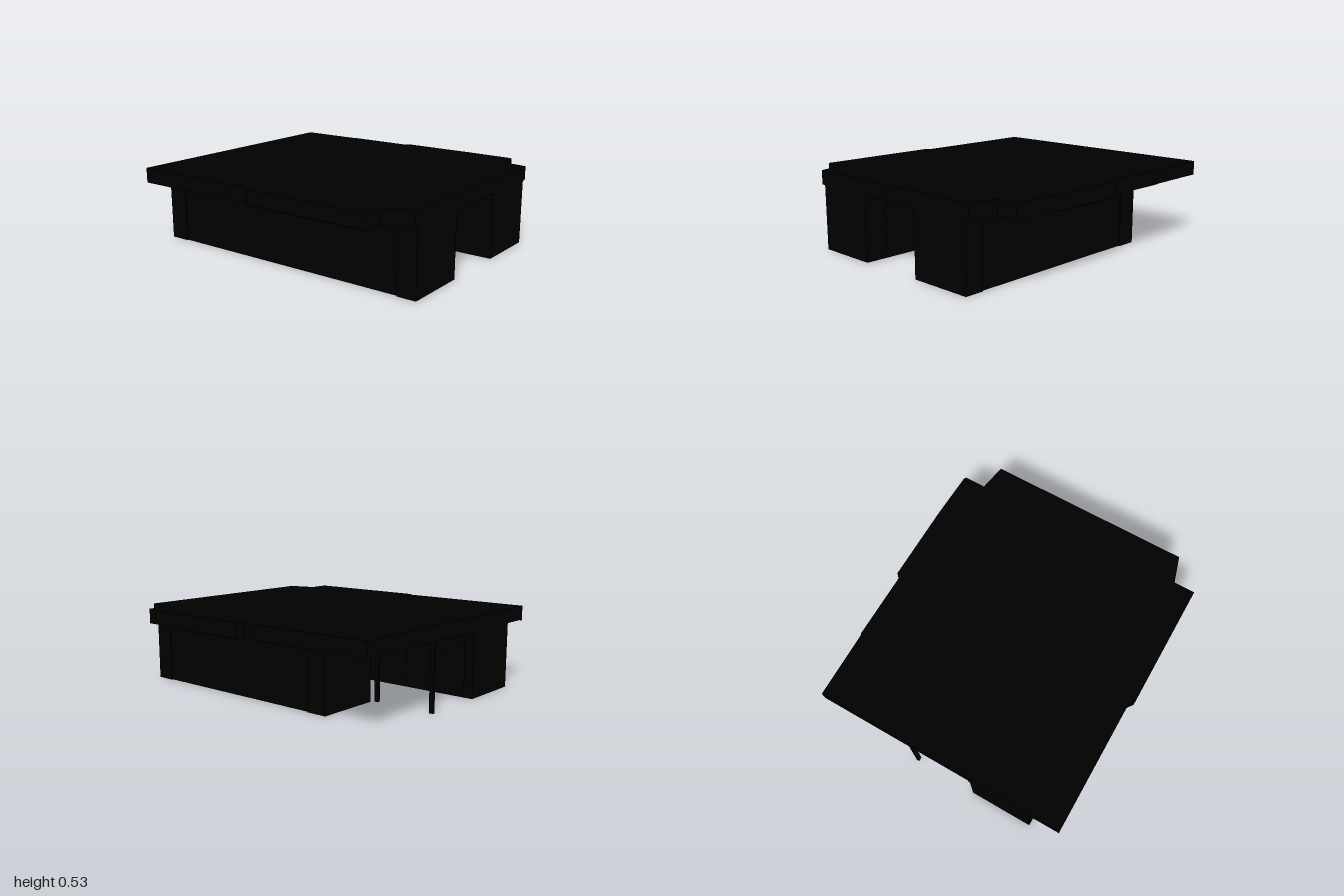
import * as THREE from 'three';

export function createModel() {
  const model = new THREE.Group();
  const black = new THREE.MeshStandardMaterial({ color: 0x000000 });
  black.name = 'black';

  const add = (name, geometry) => {
    const mesh = new THREE.Mesh(geometry, black);
    mesh.name = name;
    model.add(mesh);
    return mesh;
  };
  // Box given by its limits on each axis
  const box = (name, x0, x1, y0, y1, z0, z1) =>
    add(name, new THREE.BoxGeometry(x1 - x0, y1 - y0, z1 - z0)
      .translate((x0 + x1) / 2, (y0 + y1) / 2, (z0 + z1) / 2));

  // Roof slab: plan outline as x, z
  const outline = [
    [-0.67, -1], [0.855, -1], [0.86, -0.55], [0.867, -0.53], [0.867, -0.08],
    [0.895, -0.05], [0.895, 0.48], [0.885, 0.8], [0.875, 0.815], [0.73, 0.815],
    [0.7, 1], [-0.7, 1], [-0.755, 0.815], [-0.9, 0.815], [-0.9, -0.05],
    [-0.87, -0.09], [-0.67, -0.09],
  ].map(([x, z]) => new THREE.Vector2(x, z));
  add('roof', new THREE.ExtrudeGeometry(new THREE.Shape(outline), { depth: 0.095, bevelEnabled: false })
    .rotateX(Math.PI / 2).translate(0, 0.53, 0));

  // Rear side eave, open from below
  add('eaveTop', new THREE.PlaneGeometry(0.2, 0.91).rotateX(-Math.PI / 2).translate(-0.77, 0.53, -0.545));
  add('eaveSide', new THREE.PlaneGeometry(0.91, 0.095).rotateY(-Math.PI / 2).translate(-0.87, 0.4825, -0.545));
  add('eaveBack', new THREE.PlaneGeometry(0.2, 0.095).rotateY(Math.PI).translate(-0.77, 0.4825, -1));
  box('eaveRail', -0.87, -0.86, 0.43, 0.438, -1, -0.09);

  // Thin lips under the front eaves
  box('leftEaveLip', 0.86, 0.9, 0.428, 0.436, -0.04, 0.48);
  box('rightEaveLip', -0.89, -0.85, 0.428, 0.436, -0.04, 0.81);

  // Long right block and shorter left block
  const blocks = [[-1, 'right', -1], [1, 'left', -0.55]];
  for (const [s, side, back] of blocks) {
    const slab = (name, a, b, ...rest) => box(side + name, Math.min(s * a, s * b), Math.max(s * a, s * b), ...rest);
    slab('Block', 0.235, 0.66, 0, 0.436, back, 1);
    // Outer corner boards and upper band
    slab('FrontCorner', 0.66, 0.67, 0, 0.436, 0.87, 1);
    slab('BackCorner', 0.66, 0.67, 0, 0.436, back, back + 0.14);
    slab('OuterBand', 0.66, 0.667, 0.38, 0.436, back, 1);
    // Trim along the top of the passage
    slab('PassageTrim', 0.225, 0.235, 0.395, 0.436, back, 1);
  }
  box('ceiling', -0.235, 0.235, 0.427, 0.436, -0.98, 0.98);

  // Inner face panels with handles: z limits and handle position
  const panels = [[0.07, 0.85, 0.44, 0.33], [-0.49, -0.08, -0.27, 0.32]];
  for (const [z0, z1, hz, hy] of panels) {
    box('innerPanel', -0.236, -0.231, 0.04, 0.37, z0, z1);
    box('handle', -0.231, -0.224, hy - 0.02, hy + 0.02, hz - 0.01, hz + 0.01);
  }

  // Rounded rear door
  const r = 0.03, w = 0.34, h = 0.34;
  const door = new THREE.Shape();
  door.moveTo(r, 0).lineTo(w - r, 0);
  door.absarc(w - r, r, r, -Math.PI / 2, 0);
  door.absarc(w - r, h - r, r, 0, Math.PI / 2);
  door.absarc(r, h - r, r, Math.PI / 2, Math.PI);
  door.absarc(r, r, r, Math.PI, Math.PI * 1.5);
  add('rearDoor', new THREE.ExtrudeGeometry(door, { depth: 0.006, bevelEnabled: false, curveSegments: 4 })
    .rotateY(Math.PI / 2).translate(-0.235, 0.03, -0.6));
  box('rearDoorHandle', -0.229, -0.224, 0.28, 0.31, -0.81, -0.79);

  // Posts and top beam beside the rear opening
  for (const z of [-0.985, -0.58]) box('post', 0.197, 0.215, 0, 0.436, z - 0.014, z + 0.014);
  box('postBeam', 0.197, 0.215, 0.41, 0.436, -0.985, -0.58);

  return model;
}
